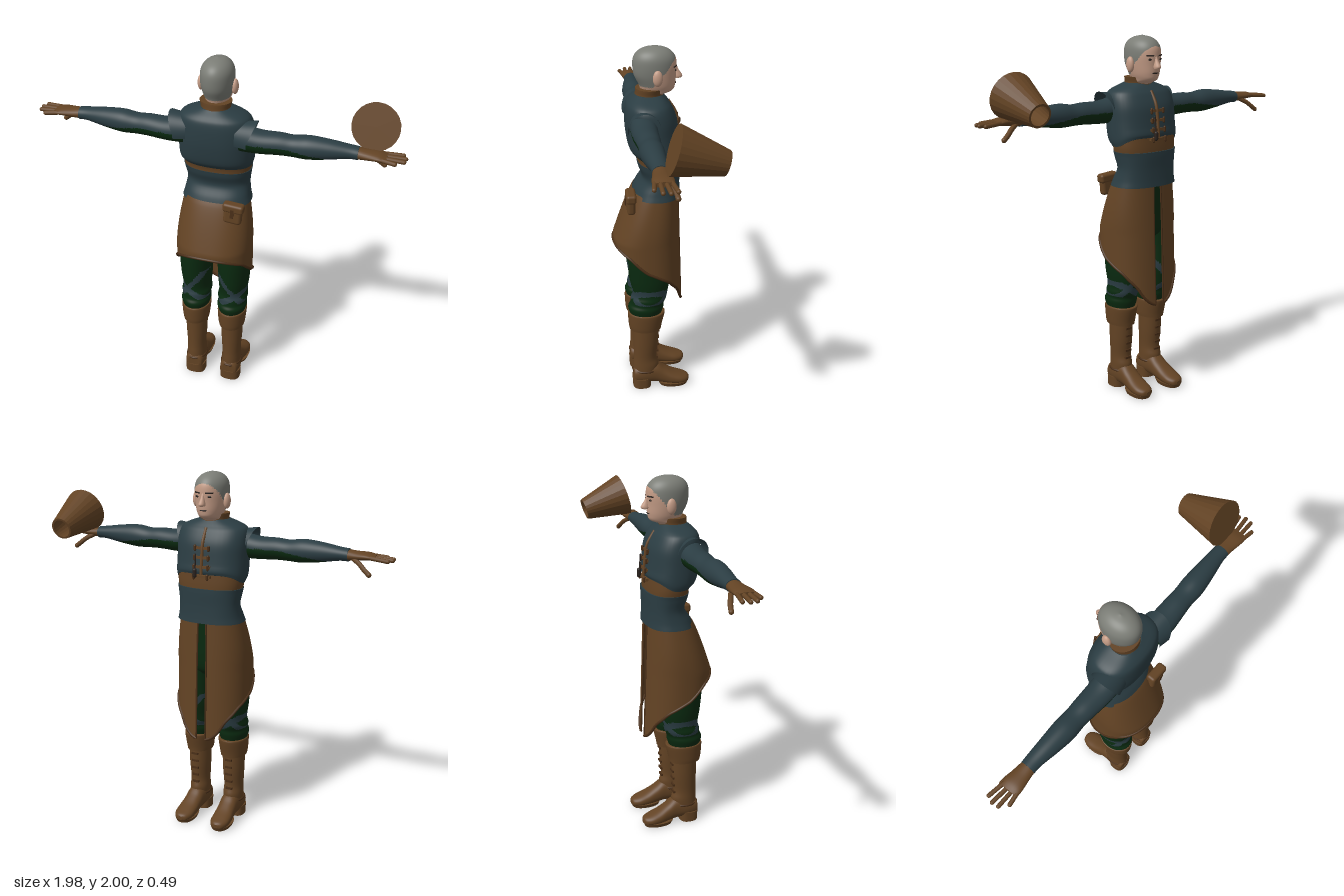
import * as THREE from 'three';
import { toCreasedNormals } from 'three/addons/utils/BufferGeometryUtils.js';
import { RoundedBoxGeometry } from 'three/addons/geometries/RoundedBoxGeometry.js';

const mat = (name, color, side = THREE.FrontSide) => {
  const m = new THREE.MeshStandardMaterial({ color, side });
  m.name = name;
  return m;
};
const V = (x, y, z) => new THREE.Vector3(x, y, z);

// Smooth loft along an axis; each ring is [h, c1, c2, r1, r2], h increasing.
function loft(rings, { axis = 'y', rows = 40, cols = 40, power = 2 } = {}) {
  const centre = new THREE.CatmullRomCurve3(rings.map(r => V(r[0], r[1], r[2])), false, 'catmullrom');
  const radius = new THREE.CatmullRomCurve3(rings.map(r => V(r[3], r[4], 0)), false, 'catmullrom');
  const pos = [], idx = [];
  const put = (h, a, b) => pos.push(...(axis === 'y' ? [a, h, b] : axis === 'x' ? [h, a, b] : [a, b, h]));
  const tri = (a, b, c) => axis === 'y' ? idx.push(a, b, c) : idx.push(a, c, b);
  const se = v => Math.sign(v) * Math.pow(Math.abs(v), 2 / power);
  const ring = t => {
    const c = centre.getPoint(t), r = radius.getPoint(t);
    for (let j = 0; j < cols; j++) {
      const a = j / cols * Math.PI * 2;
      put(c.x, c.y + r.x * se(Math.cos(a)), c.z + r.y * se(Math.sin(a)));
    }
    return c;
  };
  for (let i = 0; i <= rows; i++) ring(i / rows);
  for (let i = 0; i < rows; i++) for (let j = 0; j < cols; j++) {
    const k = (j + 1) % cols, A = i * cols + j, B = i * cols + k, C = A + cols, D = B + cols;
    tri(A, C, B); tri(B, C, D);
  }
  for (const t of [0, 1]) {
    const start = pos.length / 3, c = ring(t), mid = pos.length / 3;
    put(c.x, c.y, c.z);
    for (let j = 0; j < cols; j++) {
      const a = start + j, b = start + (j + 1) % cols;
      t ? tri(mid, b, a) : tri(mid, a, b);
    }
  }
  const g = new THREE.BufferGeometry();
  g.setAttribute('position', new THREE.Float32BufferAttribute(pos, 3));
  g.setIndex(idx);
  g.computeVertexNormals();
  return g;
}

// Split faces into two material groups by a rule on the face centre.
function paint(g, rule) {
  const p = g.attributes.position, ix = g.index.array, sets = [[], []];
  for (let i = 0; i < ix.length; i += 3) {
    const f = [ix[i], ix[i + 1], ix[i + 2]], c = V(0, 0, 0);
    f.forEach(k => c.add(V(p.getX(k), p.getY(k), p.getZ(k)).divideScalar(3)));
    sets[rule(c.x, c.y, c.z) ? 1 : 0].push(...f);
  }
  g.setIndex([...sets[0], ...sets[1]]);
  g.addGroup(0, sets[0].length, 0);
  g.addGroup(sets[0].length, sets[1].length, 1);
  return g;
}

// Mirror a geometry in x, keeping faces outward.
function mirror(src) {
  const g = src.clone().scale(-1, 1, 1);
  if (!g.index) g.setIndex([...Array(g.attributes.position.count).keys()]);
  const ix = g.index.array;
  for (let i = 0; i < ix.length; i += 3) [ix[i + 1], ix[i + 2]] = [ix[i + 2], ix[i + 1]];
  return g;
}

// Open surface from a function of u, v in 0..1.
function sheet(fn, nu, nv) {
  const g = new THREE.PlaneGeometry(1, 1, nu, nv), p = g.attributes.position;
  for (let i = 0; i < p.count; i++) p.setXYZ(i, ...fn(p.getX(i) + 0.5, p.getY(i) + 0.5));
  g.computeVertexNormals();
  return g;
}

function capsule(a, b, r) {
  const d = b.clone().sub(a), g = new THREE.CapsuleGeometry(r, d.length(), 5, 12);
  g.applyQuaternion(new THREE.Quaternion().setFromUnitVectors(V(0, 1, 0), d.normalize()));
  return g.translate(...a.clone().add(b).multiplyScalar(0.5).toArray());
}
const box = (w, h, d, x, y, z) => new THREE.BoxGeometry(w, h, d).translate(x, y, z);
const ball = (rx, ry, rz, x, y, z) => new THREE.SphereGeometry(1, 20, 14).scale(rx, ry, rz).translate(x, y, z);
const tube = (pts, r, n = 60) => new THREE.TubeGeometry(new THREE.CatmullRomCurve3(pts), n, r, 8);

export function createModel() {
  const root = new THREE.Group();
  const leather = mat('brown leather', 0x634324), hide = mat('brown skirt leather', 0x634324, THREE.DoubleSide);
  const trim = mat('dark brown trim', 0x4a2f18), teal = mat('teal cloth', 0x2b3d43);
  const tealOpen = mat('teal shoulder cloth', 0x2b3d43, THREE.DoubleSide);
  const green = mat('dark green cloth', 0x0a2a10), skin = mat('skin', 0xc49c86);
  const hair = mat('grey hair', 0x7b7d76), dark = mat('dark features', 0x2a221e);
  const add = (name, g, m) => { const o = new THREE.Mesh(g, m); o.name = name; root.add(o); return o; };
  const pair = (name, g, m) => { add(name + 'Left', g, m); add(name + 'Right', mirror(g), m); };

  // Head, looking towards -z
  add('head', paint(loft([[1.70, 0, 0.04, 0.055, 0.06], [1.745, 0, 0.03, 0.058, 0.062], [1.768, 0, 0.002, 0.06, 0.085],
    [1.80, 0, 0, 0.072, 0.096], [1.85, 0, 0.01, 0.083, 0.11], [1.90, 0, 0.012, 0.087, 0.115], [1.94, 0, 0.013, 0.083, 0.11],
    [1.97, 0, 0.014, 0.067, 0.09], [1.99, 0, 0.014, 0.04, 0.055], [2.0, 0, 0.014, 0.003, 0.004]], { rows: 70, cols: 64 }),
  (x, y, z) => y > 1.795 + Math.max(0, 0.03 - z) * 1.2), [skin, hair]);
  pair('ear', ball(0.018, 0.042, 0.026, 0.09, 1.85, 0.005), skin);
  add('nose', loft([[1.83, 0, -0.108, 0.016, 0.02], [1.842, 0, -0.108, 0.017, 0.025], [1.87, 0, -0.102, 0.01, 0.013],
    [1.895, 0, -0.095, 0.007, 0.008]], { rows: 12, cols: 16 }), skin);
  pair('eye', ball(0.013, 0.006, 0.005, 0.033, 1.878, -0.092), dark);
  pair('eyebrow', capsule(V(0.018, 1.897, -0.1), V(0.05, 1.898, -0.084), 0.004), dark);
  add('mouth', ball(0.022, 0.004, 0.005, 0, 1.806, -0.095), dark);

  // Collar, sleeveless jacket, underbodice and waistcoat
  add('collar', loft([[1.71, 0, 0.048, 0.115, 0.095], [1.74, 0, 0.043, 0.08, 0.076], [1.782, 0, 0.04, 0.085, 0.073]], { rows: 14 }), leather);
  const jacket = loft([[1.42, 0, 0, 0.19, 0.115], [1.46, 0, 0.015, 0.199, 0.135], [1.55, 0, 0.028, 0.2, 0.14],
    [1.63, 0, 0.035, 0.2, 0.136], [1.69, 0, 0.045, 0.19, 0.12], [1.72, 0, 0.048, 0.16, 0.1], [1.75, 0, 0.045, 0.08, 0.07]], { power: 2.4 });
  const jp = jacket.attributes.position;
  for (let i = 0; i < jp.count; i++) {
    const low = THREE.MathUtils.clamp((1.52 - jp.getY(i)) / 0.1, 0, 1), front = THREE.MathUtils.smoothstep(-jp.getZ(i), 0, 0.11);
    jp.setY(i, jp.getY(i) + 0.05 * low * front);
  }
  jacket.computeVertexNormals();
  add('jacket', jacket, teal);
  add('underbodice', loft([[1.37, 0, -0.003, 0.178, 0.11], [1.42, 0, 0, 0.186, 0.113], [1.49, 0, 0.015, 0.19, 0.125]],
    { rows: 12, power: 2.4 }), leather);
  pair('shoulderFlare', sheet((u, v) => {
    const a = (u - 0.5) * 3.6, c = Math.max(0, Math.cos(a)), r = 0.86 + 0.14 * v;
    return [0.13 + v * (0.065 + 0.04 * c), 1.61 + 0.1 * r * Math.cos(a), 0.085 + 0.085 * r * Math.sin(a)];
  }, 28, 6), tealOpen);
  add('waistcoat', loft([[1.2, 0, 0.008, 0.19, 0.13], [1.24, 0, 0, 0.18, 0.12], [1.3, 0, -0.016, 0.172, 0.103],
    [1.36, 0, -0.008, 0.18, 0.113], [1.39, 0, -0.005, 0.186, 0.116]], { rows: 24, power: 2.4 }), teal);

  // Chest fastenings
  add('frontPlacket', tube([V(0, 1.47, -0.122), V(0, 1.56, -0.113), V(0, 1.64, -0.1), V(0, 1.71, -0.058)], 0.009, 24), leather);
  for (let i = 0; i < 4; i++) {
    const y = 1.46 + i * 0.05, z = -0.121 + i * 0.006;
    add('clasp', box(0.11 - i * 0.008, 0.014, 0.018, 0, y, z), leather);
    pair('toggle', capsule(V(0.04, y - 0.01, z - 0.01), V(0.04, y + 0.01, z - 0.01), 0.007), trim);
  }
  add('pendantCord', capsule(V(0.03, 1.5, -0.134), V(0.03, 1.58, -0.128), 0.004), dark);
  add('pendant', capsule(V(0.03, 1.465, -0.138), V(0.03, 1.495, -0.138), 0.011), dark);

  // Split skirt: high hem behind, low points beside the front slit
  const hemC = [-1, -0.8, -0.5, 0, 0.5, 1], hemY = [0.53, 0.65, 0.72, 0.78, 0.87, 0.92];
  const hem = c => {
    let i = 0;
    while (i < 4 && c > hemC[i + 1]) i++;
    return THREE.MathUtils.mapLinear(c, hemC[i], hemC[i + 1], hemY[i], hemY[i + 1]);
  };
  const skirt = (u, v) => {
    const a = 0.1 + u * (Math.PI * 2 - 0.2), c = -Math.cos(a), y = 1.22 - v * (1.22 - hem(c));
    const t = Math.min(1, (1.22 - y) / 0.28), back = 0.135 + 0.11 * Math.pow(t, 0.85), front = -0.112 - 0.035 * (1.22 - y);
    const sq = k => Math.sign(k) * Math.pow(Math.abs(k), 0.87);
    return [(0.178 + 0.032 * Math.sin(t * Math.PI / 2)) * sq(Math.sin(a)), y, (back + front) / 2 + (back - front) / 2 * sq(c)];
  };
  add('skirt', sheet(skirt, 80, 24), hide);
  add('skirtHem', tube(Array.from({ length: 49 }, (_, i) => V(...skirt(i / 48, 1))), 0.008, 120), trim);
  for (const u of [0, 1]) add('slitEdge', tube(Array.from({ length: 9 }, (_, i) => V(...skirt(u, i / 8))), 0.005, 30), trim);

  // Pouch on the back of the waist
  const pouch = new THREE.Group();
  pouch.name = 'pouch';
  pouch.add(new THREE.Mesh(new RoundedBoxGeometry(0.1, 0.11, 0.045, 3, 0.018), leather),
    new THREE.Mesh(new RoundedBoxGeometry(0.115, 0.05, 0.055, 3, 0.015).translate(0, 0.04, 0), leather),
    new THREE.Mesh(box(0.018, 0.05, 0.006, 0, 0.015, 0.029), trim));
  pouch.position.set(0.13, 1.185, 0.155);
  pouch.rotation.z = -0.08;
  root.add(pouch);

  // Trousers with diagonal patches
  add('hips', loft([[0.88, 0, 0.055, 0.1, 0.085], [0.95, 0, 0.05, 0.175, 0.12], [1.2, 0, 0.01, 0.16, 0.105]], { rows: 12 }), green);
  pair('trouserLeg', paint(loft([[0.48, 0.108, 0.075, 0.07, 0.085], [0.53, 0.108, 0.075, 0.084, 0.1], [0.56, 0.108, 0.068, 0.08, 0.096],
    [0.59, 0.108, 0.06, 0.085, 0.1], [0.63, 0.108, 0.052, 0.08, 0.1], [0.72, 0.11, 0.052, 0.088, 0.112], [0.85, 0.11, 0.06, 0.09, 0.113],
    [0.97, 0.1, 0.06, 0.08, 0.105]], { rows: 70, cols: 56 }),
  (x, y) => (y > 0.56 && y < 0.66 && Math.abs(y - 0.56 - (x - 0.04) * 0.6) < 0.02)
    || (y > 0.57 && y < 0.76 && Math.abs(y - 0.74 + (x - 0.05) * 1.3) < 0.024)), [green, teal]);

  // Boots
  pair('bootCuff', loft([[0.39, 0.108, 0.078, 0.072, 0.09], [0.42, 0.108, 0.078, 0.077, 0.095], [0.49, 0.108, 0.072, 0.083, 0.105],
    [0.5, 0.108, 0.072, 0.078, 0.1]], { rows: 14 }), leather);
  pair('bootShaft', loft([[0.06, 0.108, 0.085, 0.056, 0.065], [0.14, 0.108, 0.075, 0.056, 0.074], [0.2, 0.108, 0.08, 0.054, 0.066],
    [0.3, 0.108, 0.076, 0.06, 0.071], [0.42, 0.108, 0.075, 0.064, 0.075]], { rows: 24 }), leather);
  pair('bootFoot', loft([[-0.176, 0.114, 0.032, 0.012, 0.012], [-0.165, 0.114, 0.033, 0.035, 0.022], [-0.13, 0.114, 0.038, 0.053, 0.03],
    [-0.08, 0.113, 0.048, 0.056, 0.04], [-0.03, 0.11, 0.065, 0.053, 0.052], [0.02, 0.108, 0.085, 0.053, 0.065],
    [0.09, 0.108, 0.085, 0.058, 0.06], [0.14, 0.108, 0.08, 0.05, 0.05], [0.15, 0.108, 0.08, 0.035, 0.04]],
  { axis: 'z', rows: 36, power: 2.3 }), leather);
  pair('bootSole', loft([[0.0, 0.114, -0.085, 0.05, 0.08], [0.022, 0.114, -0.085, 0.058, 0.09]], { rows: 2, power: 2.3 }), leather);
  pair('bootHeel', loft([[0.0, 0.108, 0.1, 0.058, 0.052], [0.06, 0.108, 0.1, 0.06, 0.055]], { rows: 2, power: 2.8 }), leather);
  pair('ankleStrap', new THREE.TorusGeometry(1, 0.1, 8, 32).rotateX(Math.PI / 2).scale(0.056, 0.07, 0.072).translate(0.108, 0.11, 0.078), trim);
  for (let i = 0; i < 5; i++) pair('bootLace', box(0.04, 0.012, 0.012, 0.108, 0.19 + i * 0.045, 0.012 - i * 0.002), trim);

  // Arms with green undersides
  pair('arm', paint(loft([[0.15, 1.61, 0.085, 0.07, 0.07], [0.25, 1.602, 0.085, 0.061, 0.068], [0.35, 1.605, 0.082, 0.058, 0.062],
    [0.42, 1.603, 0.08, 0.056, 0.058], [0.5, 1.607, 0.08, 0.062, 0.061], [0.6, 1.61, 0.076, 0.052, 0.053], [0.7, 1.612, 0.07, 0.036, 0.043],
    [0.75, 1.61, 0.07, 0.033, 0.041]], { axis: 'x', rows: 60, cols: 48 }),
  (x, y) => y < 1.605 - Math.max(0, x - 0.38) * 0.15), [teal, green]);

  // Gloved hands
  pair('palm', loft([[0.735, 1.61, 0.07, 0.03, 0.038], [0.79, 1.61, 0.07, 0.025, 0.045], [0.85, 1.612, 0.072, 0.02, 0.053],
    [0.89, 1.608, 0.074, 0.013, 0.05]], { axis: 'x', rows: 16, cols: 24 }), leather);
  [[0.034, 0.018, 0.965], [0.061, 0.052, 0.98], [0.088, 0.087, 0.975], [0.113, 0.122, 0.935]].forEach(([z0, z1, tip]) =>
    pair('finger', capsule(V(0.87, 1.61, z0), V(tip, 1.604, z1), 0.011), leather));
  pair('thumb', tube([V(0.77, 1.602, 0.05), V(0.82, 1.575, 0.025), V(0.85, 1.55, 0.012), V(0.875, 1.53, 0.006)], 0.013, 16), leather);
  pair('thumbTip', ball(0.013, 0.013, 0.013, 0.875, 1.53, 0.006), leather);

  // Bucket: closed wide end, open narrow end
  const profile = [[0, 0], [0.122, 0], [0.061, 0.253], [0.05, 0.253], [0.09, 0.03], [0, 0.03]].map(p => new THREE.Vector2(...p));
  const bucket = add('bucket', toCreasedNormals(new THREE.LatheGeometry(profile, 24), 0.2), leather);
  bucket.quaternion.setFromUnitVectors(V(0, 1, 0), V(0, -0.073, -0.242).normalize());
  bucket.position.set(0.815, 1.74, 0.02);
  return root;
}
